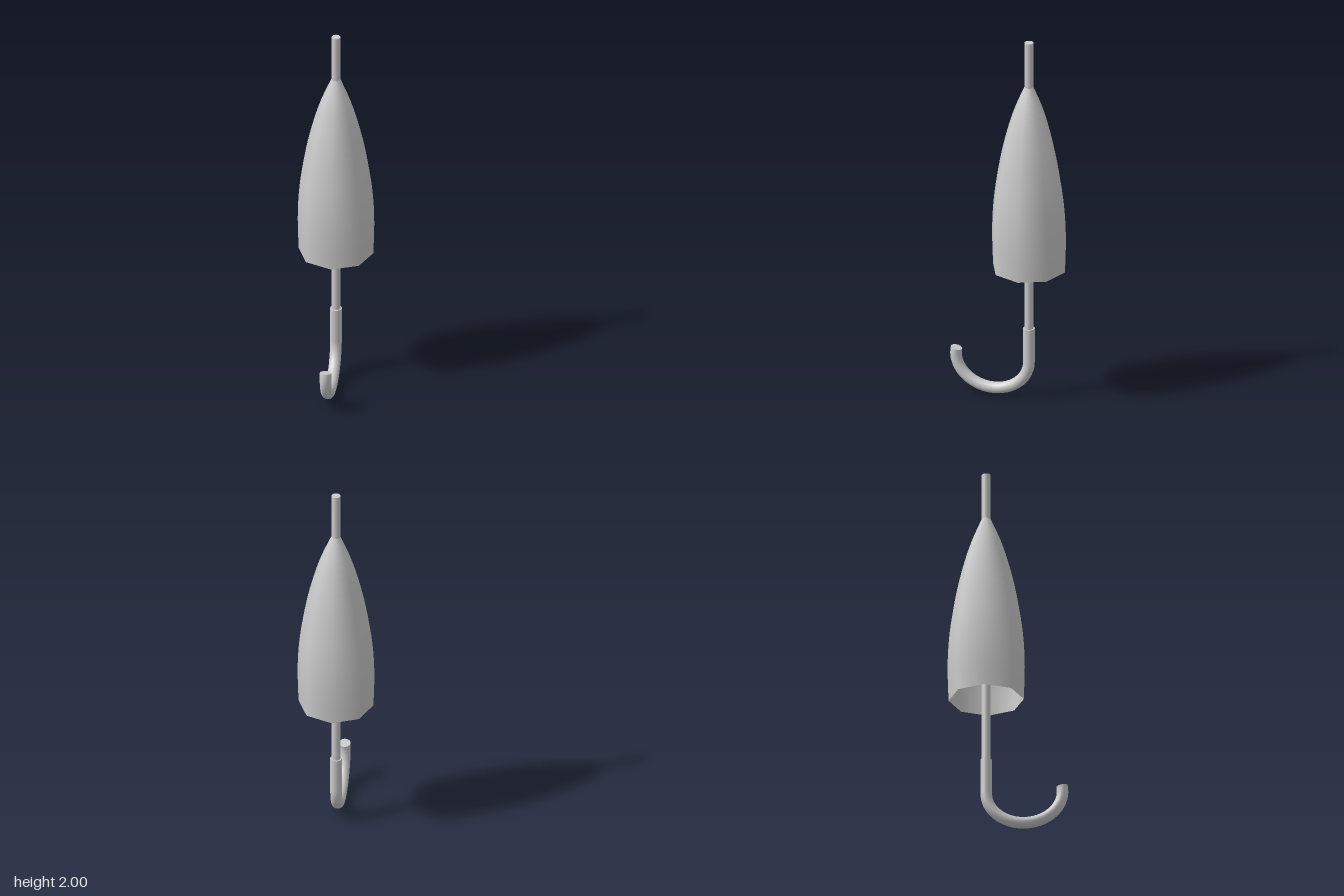
import * as THREE from 'three';

const Z = -0.11; // depth of the shaft axis
const GRIP_R = 0.03;

// Lower hook of the handle: an elliptical sweep a little past a half turn
class HookCurve extends THREE.Curve {
  getPoint(t, target = new THREE.Vector3()) {
    const a = Math.PI * (1 + t * 1.056);
    return target.set(0, 0.2 + 0.17 * Math.sin(a), 0.086 + 0.196 * Math.cos(a));
  }
}

export function createModel() {
  const group = new THREE.Group();
  const solid = new THREE.MeshStandardMaterial({ color: 0xcccccc });
  const cloth = new THREE.MeshStandardMaterial({ color: 0xcccccc, side: THREE.DoubleSide });

  const add = (name, geometry, material = solid, y = 0, z = 0) => {
    const mesh = new THREE.Mesh(geometry, material);
    mesh.name = name;
    mesh.position.set(0, y, z);
    group.add(mesh);
    return mesh;
  };
  const rod = (name, radius, y0, y1) =>
    add(name, new THREE.CylinderGeometry(radius, radius, y1 - y0, 32), solid, (y0 + y1) / 2, Z);

  // Shaft, running through the canopy up to the tip
  rod('shaft', 0.023, 0.3, 2);

  // Folded canopy: eight-sided, open at the bottom
  const profile = new THREE.SplineCurve([
    [0.193, 0.73], [0.198, 0.9], [0.193, 1.05], [0.176, 1.2],
    [0.14, 1.4], [0.085, 1.6], [0.022, 1.755],
  ].map(([r, y]) => new THREE.Vector2(r, y)));
  add('canopy', new THREE.LatheGeometry(profile.getPoints(28), 8), cloth, 0, Z);

  // Handle: straight grip and curved hook
  rod('grip', GRIP_R, 0.2, 0.39);
  const hook = new HookCurve();
  add('hook', new THREE.TubeGeometry(hook, 20, GRIP_R, 24));

  // Flat end of the hook
  const cap = add('hookEnd', new THREE.CircleGeometry(GRIP_R, 24));
  cap.position.copy(hook.getPoint(1));
  cap.quaternion.setFromUnitVectors(new THREE.Vector3(0, 0, 1), hook.getTangent(1));

  return group;
}
